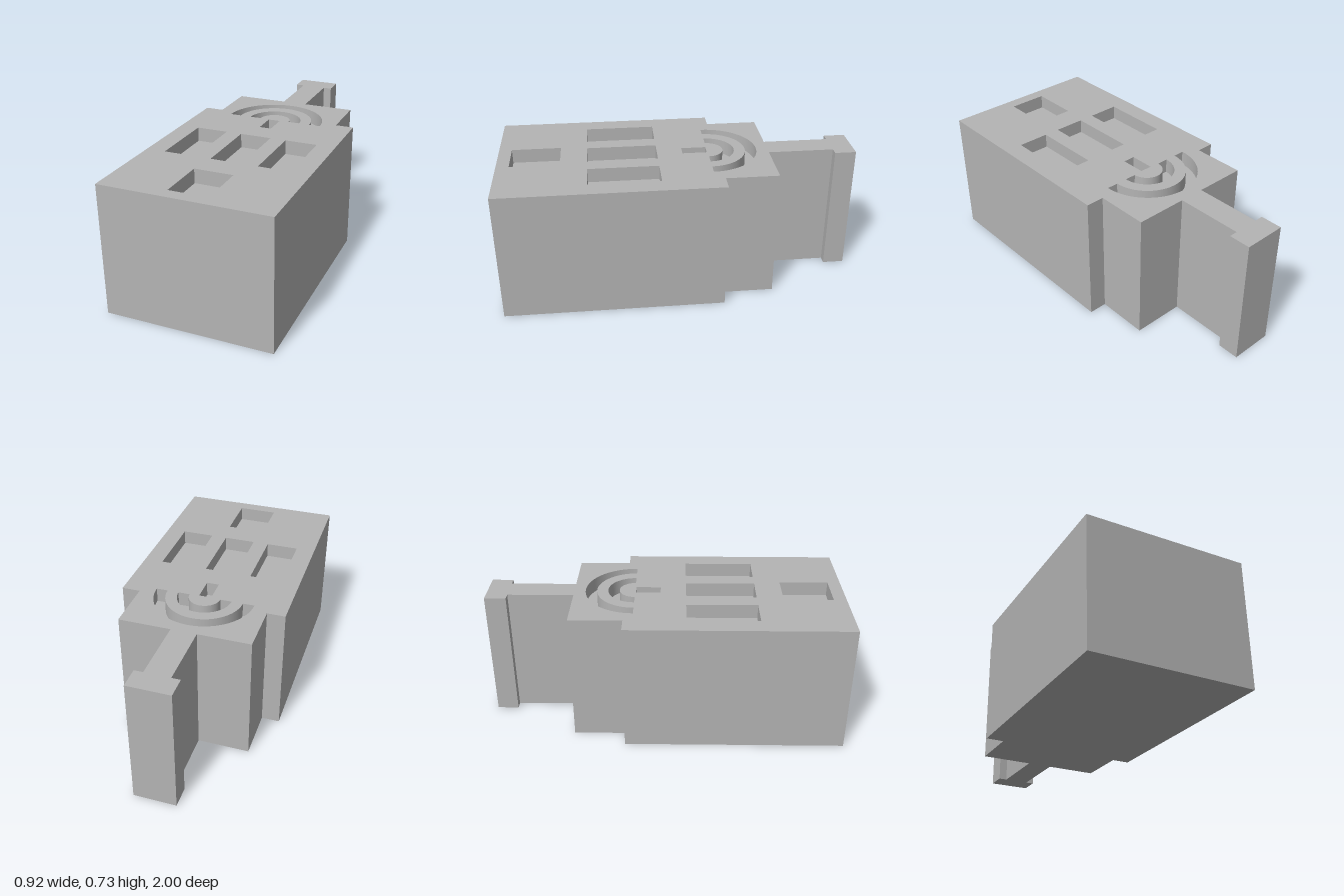
import * as THREE from 'three';
import { mergeGeometries } from 'three/addons/utils/BufferGeometryUtils.js';

const HEIGHT = 0.733, DEPTH = 0.08; // block height, recess depth
const SEGMENTS = 48;

// Plan shapes are drawn in (x, -z) and laid flat.
const polygon = (points) => new THREE.Shape(points.map(([x, z]) => new THREE.Vector2(x, -z)));

const rect = (x0, x1, z0, z1) => polygon([[x0, z1], [x1, z1], [x1, z0], [x0, z0]]);

function arch(outer, inner, z) {
  const shape = new THREE.Shape();
  shape.absarc(0, -z, outer, 0, Math.PI, false);
  shape.absarc(0, -z, inner, Math.PI, 0, true);
  shape.closePath();
  return shape;
}

// Flat face at height y
function face(shape, y) {
  return new THREE.ShapeGeometry(shape, SEGMENTS).toNonIndexed().rotateX(-Math.PI / 2).translate(0, y, 0);
}

// Side walls only, from height y0 to y1
function walls(shape, y0, y1) {
  const solid = new THREE.ExtrudeGeometry(shape, { depth: y1 - y0, bevelEnabled: false, curveSegments: SEGMENTS });
  const { start, count } = solid.groups[1];
  const geometry = new THREE.BufferGeometry();
  for (const [name, size] of [['position', 3], ['normal', 3], ['uv', 2]]) {
    const data = solid.attributes[name].array.slice(start * size, (start + count) * size);
    geometry.setAttribute(name, new THREE.BufferAttribute(data, size));
  }
  return geometry.rotateX(-Math.PI / 2).translate(0, y0, 0);
}

export function createModel() {
  const group = new THREE.Group();
  const grey = new THREE.MeshStandardMaterial({ color: 0xb4b4b4, side: THREE.DoubleSide });
  grey.name = 'grey';

  const add = (name, parts) => {
    const mesh = new THREE.Mesh(mergeGeometries(parts), grey);
    mesh.name = name;
    group.add(mesh);
  };

  // Stepped tower outline: right half, then mirrored
  const half = [[0.462, 1], [0.462, -0.22], [0.361, -0.22], [0.361, -0.511],
    [0.071, -0.511], [0.071, -0.88], [0.119, -0.88], [0.119, -1]];
  const outline = [...half, ...half.map(([x, z]) => [-x, z]).reverse()];

  // Recessed details
  const recesses = {
    outerArch: arch(0.279, 0.215, -0.169),
    innerArch: arch(0.152, 0.088, -0.169),
    smallSlot: rect(-0.034, 0.034, -0.164, -0.026),
    rightWindow: rect(-0.356, -0.177, 0.116, 0.507),
    middleWindow: rect(-0.088, 0.088, 0.116, 0.507),
    leftWindow: rect(0.177, 0.356, 0.116, 0.507),
    door: rect(-0.108, 0.108, 0.654, 0.929),
  };

  // Body: outer walls, underside, and top pierced by the recesses
  const plan = polygon(outline);
  const underside = face(plan, 0).rotateZ(Math.PI);
  const top = polygon(outline);
  top.holes = Object.values(recesses);
  add('towerBody', [walls(plan, 0, HEIGHT), underside, face(top, HEIGHT)]);

  // Recess walls and floors
  for (const [name, shape] of Object.entries(recesses)) {
    add(name, [walls(shape, HEIGHT - DEPTH, HEIGHT), face(shape, HEIGHT - DEPTH)]);
  }
  return group;
}
